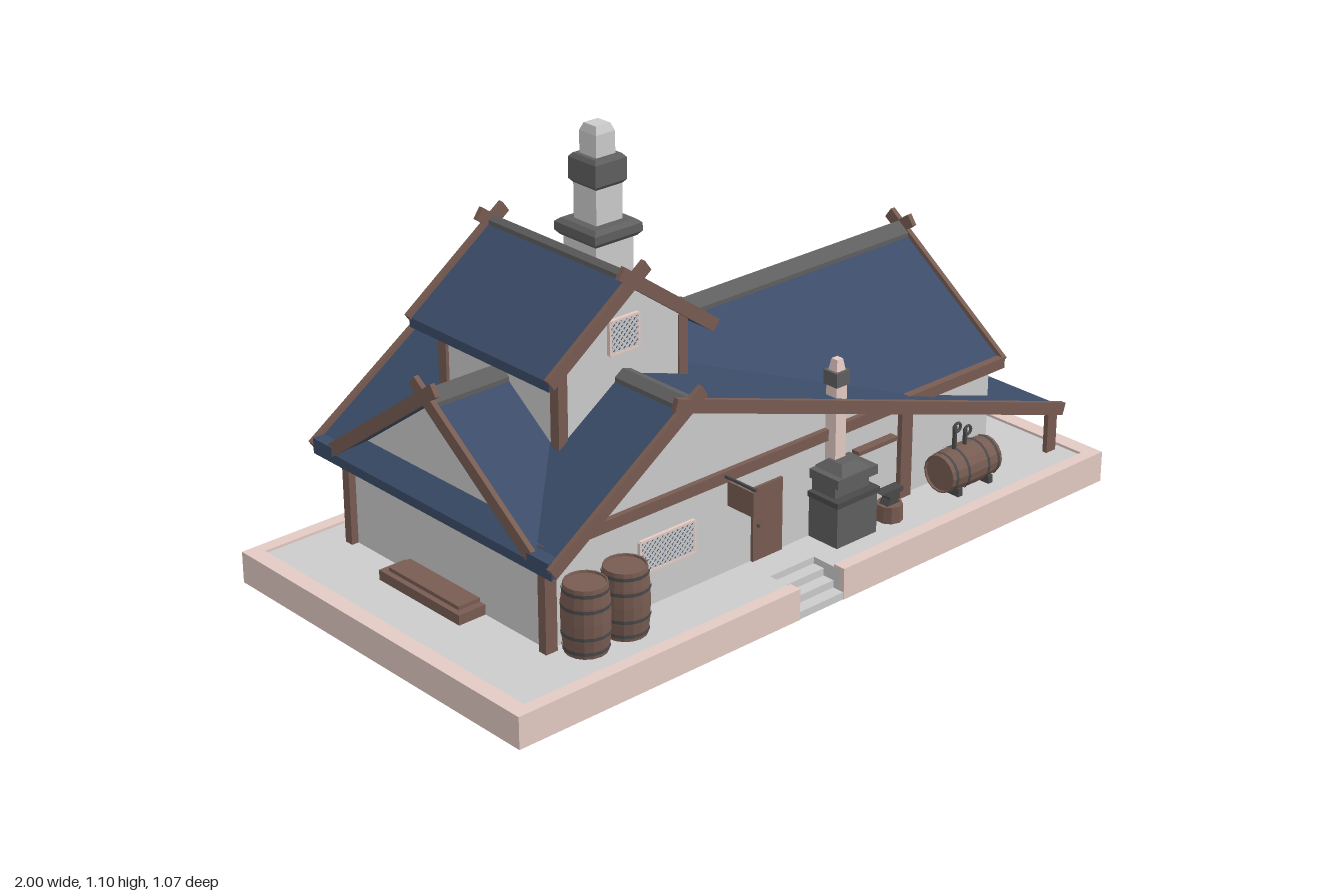
import * as THREE from 'three';

const paint = (color) => new THREE.MeshStandardMaterial({ color, flatShading: true });
const GREY = paint(0xcccccc);
const STONE = paint(0xe3cac3);
const WOOD = paint(0x785c52);
const ROOF = paint(0x3b4c69);
const DARK = paint(0x5f5f5f);
const IRON = paint(0x4a4a4a);

function add(parent, name, geometry, material, x = 0, y = 0, z = 0) {
  const mesh = new THREE.Mesh(geometry, material);
  mesh.name = name;
  mesh.position.set(x, y, z);
  parent.add(mesh);
  return mesh;
}

// Box given by its limits on each axis
function block(parent, name, material, x0, x1, y0, y1, z0, z1) {
  return add(parent, name, new THREE.BoxGeometry(x1 - x0, y1 - y0, z1 - z0), material,
    (x0 + x1) / 2, (y0 + y1) / 2, (z0 + z1) / 2);
}

// Outline in x/y pulled from z0 to z1
function prism(parent, name, material, points, z0, z1) {
  const shape = new THREE.Shape(points.map(([x, y]) => new THREE.Vector2(x, y)));
  const geometry = new THREE.ExtrudeGeometry(shape, { depth: z1 - z0, bevelEnabled: false });
  return add(parent, name, geometry, material, 0, 0, z0);
}

// Bar in the x/y plane from a to b
function bar(parent, name, material, a, b, thick, depth, z) {
  const dx = b[0] - a[0], dy = b[1] - a[1];
  const mesh = add(parent, name, new THREE.BoxGeometry(Math.hypot(dx, dy), thick, depth), material,
    (a[0] + b[0]) / 2, (a[1] + b[1]) / 2, z);
  mesh.rotation.z = Math.atan2(dy, dx);
  return mesh;
}

// Square block with a tapered top
function taper(parent, name, material, bottom, top, y0, y1, x, z) {
  const geometry = new THREE.CylinderGeometry(top / Math.SQRT2, bottom / Math.SQRT2, y1 - y0, 4);
  return add(parent, name, geometry.rotateY(Math.PI / 4), material, x, (y0 + y1) / 2, z);
}

// Chevron section: apex, two eaves, constant vertical thickness
const chevron = (apex, a, b, t) => [a, apex, b, [b[0], b[1] - t], [apex[0], apex[1] - t], [a[0], a[1] - t]];

// Pitched roof with its ridge along z, crossed rake boards and a ridge cap
function pitchedRoof(parent, name, apex, eaves, z0, z1, capWidth) {
  const roof = new THREE.Group();
  roof.name = name;
  prism(roof, 'roofSlopes', ROOF, chevron(apex, eaves[0], eaves[1], 0.025), z0, z1);
  const cap = eaves.map(([x, y]) => {
    const s = capWidth / 2 / Math.abs(x - apex[0]);
    return [apex[0] + (x - apex[0]) * s, apex[1] + 0.012 + (y - apex[1]) * s];
  });
  prism(roof, 'ridgeCap', DARK, chevron([apex[0], apex[1] + 0.012], cap[0], cap[1], 0.022), z0, z1);
  for (const z of [z0, z1]) {
    for (const [x, y] of eaves) {
      const dx = x - apex[0], dy = y - apex[1], s = 0.05 / Math.hypot(dx, dy);
      const low = apex[1] - 0.006;
      bar(roof, 'rakeBoard', WOOD, [apex[0] - dx * s, low - dy * s], [x, y - 0.006], 0.034, 0.014, z);
    }
  }
  parent.add(roof);
  return roof;
}

// Framed window with diagonal lattice, centred on its origin and facing +z
function latticeWindow(parent, w, h, x, y, z) {
  const win = new THREE.Group();
  win.name = 'latticeWindow';
  win.position.set(x, y, z);
  add(win, 'pane', new THREE.BoxGeometry(w, h, 0.004), ROOF);
  for (const s of [-1, 1]) {
    add(win, 'frameSide', new THREE.BoxGeometry(0.006, h, 0.014), STONE, s * w / 2);
    add(win, 'frameRail', new THREE.BoxGeometry(w, 0.006, 0.014), STONE, 0, s * h / 2);
    for (let c = -(w + h) / 2 + 0.014; c < (w + h) / 2; c += 0.016) {
      // Line x + y = c, clipped to the pane
      const x0 = Math.max(-w / 2, c - h / 2), x1 = Math.min(w / 2, c + h / 2);
      bar(win, 'latticeBar', GREY, [s * x0, c - x0], [s * x1, c - x1], 0.004, 0.004, 0.004);
    }
  }
  parent.add(win);
  return win;
}

// Bulging barrel with iron hoops, centred on its origin
function barrel(parent, r, h, x, y, z) {
  const cask = new THREE.Group();
  cask.name = 'barrel';
  cask.position.set(x, y, z);
  const profile = [[0, -0.47], [0.8, -0.47], [0.82, -0.5], [0.88, -0.5], [0.96, -0.25], [0.98, 0],
    [0.96, 0.25], [0.88, 0.5], [0.82, 0.5], [0.8, 0.47], [0, 0.47]];
  add(cask, 'staves', new THREE.LatheGeometry(profile.map(([a, b]) => new THREE.Vector2(a * r, b * h)), 16), WOOD);
  for (const t of [-0.42, -0.2, 0.2, 0.42]) {
    const hoopRadius = r * (Math.abs(t) > 0.3 ? 0.94 : 1);
    add(cask, 'hoop', new THREE.CylinderGeometry(hoopRadius, hoopRadius, 0.009, 16, 1, true), IRON, 0, t * h);
  }
  parent.add(cask);
  return cask;
}

export function createModel() {
  const model = new THREE.Group();
  model.name = 'workshopHouse';

  // Plinth: floor with a stair notch, raised rim and steps
  const floor = prism(model, 'floor', GREY, [[-0.98, -0.52], [-0.12, -0.52], [-0.12, -0.43], [0.03, -0.43],
    [0.03, -0.52], [0.98, -0.52], [0.98, 0.52], [-0.98, 0.52]], 0, 0.078);
  floor.rotation.x = -Math.PI / 2;
  for (const [x0, x1, z0, z1] of [[-1, 1, -0.535, -0.5], [-1, -0.955, -0.5, 0.5], [0.955, 1, -0.5, 0.5],
    [-1, -0.12, 0.5, 0.535], [0.03, 1, 0.5, 0.535]]) block(model, 'rim', STONE, x0, x1, 0, 0.085, z0, z1);
  for (let i = 0; i < 3; i++) block(model, 'step', GREY, -0.12, 0.03, 0, 0.06 - i * 0.02, 0.43, 0.465 + i * 0.034);

  // Walls of the two crossing wings
  prism(model, 'crossWingWalls', GREY, [[-0.75, 0.07], [0.755, 0.07], [0.755, 0.24], [-0.38, 0.605], [-0.75, 0.35]], -0.4, 0.34);
  const mainWing = new THREE.Group();
  mainWing.name = 'mainWing';
  mainWing.rotation.y = Math.PI / 2;
  model.add(mainWing);
  prism(mainWing, 'mainWingWalls', GREY, [[-0.34, 0.07], [0.4, 0.07], [0.4, 0.335], [0.03, 0.605], [-0.34, 0.335]], -0.745, 0.755);
  latticeWindow(mainWing, 0.09, 0.09, 0.03, 0.465, 0.757);

  // Roofs
  pitchedRoof(mainWing, 'mainRoof', [0.03, 0.622], [[-0.345, 0.35], [0.41, 0.35]], -0.8, 0.8, 0.07);
  pitchedRoof(model, 'crossRoof', [-0.38, 0.622], [[-0.805, 0.335], [0.96, 0.193]], -0.484, 0.424, 0.05);
  for (const z of [-0.44, 0.38]) block(model, 'eaveCorner', ROOF, -0.81, -0.76, 0.33, 0.355, z - 0.038, z + 0.038);

  // Dormer tower
  prism(model, 'dormerWalls', GREY, [[-0.575, 0.4], [-0.185, 0.4], [-0.185, 0.72], [-0.38, 0.86], [-0.575, 0.72]], -0.25, 0.19);
  for (const x of [-0.57, -0.19]) {
    for (const z of [-0.24, 0.18]) block(model, 'dormerPost', WOOD, x - 0.014, x + 0.014, 0.4, 0.72, z - 0.015, z + 0.015);
  }
  pitchedRoof(model, 'dormerRoof', [-0.38, 0.875], [[-0.64, 0.688], [-0.12, 0.688]], -0.29, 0.23, 0.03);
  latticeWindow(model, 0.09, 0.085, -0.38, 0.723, 0.193);

  // Timber frame
  for (const z of [0.344, -0.404]) {
    block(model, 'eaveBeam', WOOD, -0.77, 0.8, 0.33, 0.36, z - 0.011, z + 0.011);
    block(model, 'cornerPost', WOOD, -0.77, -0.735, 0.078, 0.34, z - 0.013, z + 0.013);
  }
  block(model, 'porchPost', WOOD, 0.415, 0.455, 0.078, 0.34, 0.325, 0.355);
  for (const z of [0.424, -0.484]) block(model, 'outerPost', WOOD, 0.897, 0.932, 0.078, 0.19, z - 0.007, z + 0.007);

  // Main chimney
  const cx = -0.148, cz = -0.161;
  taper(model, 'chimneyBase', GREY, 0.122, 0.122, 0.4, 0.815, cx, cz);
  taper(model, 'chimneyCollar', DARK, 0.135, 0.155, 0.808, 0.82, cx, cz);
  taper(model, 'chimneyCollar', DARK, 0.155, 0.155, 0.82, 0.842, cx, cz);
  taper(model, 'chimneyCollar', DARK, 0.155, 0.13, 0.842, 0.852, cx, cz);
  taper(model, 'chimneyShaft', GREY, 0.085, 0.085, 0.85, 0.955, cx, cz);
  taper(model, 'chimneyBand', DARK, 0.085, 0.102, 0.945, 0.955, cx, cz);
  taper(model, 'chimneyBand', DARK, 0.102, 0.102, 0.955, 1.012, cx, cz);
  taper(model, 'chimneyBand', DARK, 0.102, 0.085, 1.012, 1.022, cx, cz);
  taper(model, 'chimneyTop', GREY, 0.062, 0.062, 1.02, 1.08, cx, cz);
  taper(model, 'chimneyTop', GREY, 0.062, 0.046, 1.08, 1.1, cx, cz);

  // Front wall: window, door, hanging sign, shelf
  latticeWindow(model, 0.175, 0.085, -0.38, 0.217, 0.342);
  block(model, 'door', WOOD, -0.1, 0, 0.078, 0.278, 0.335, 0.348);
  add(model, 'doorKnob', new THREE.SphereGeometry(0.005, 8, 6), IRON, -0.085, 0.175, 0.352);
  block(model, 'signArm', IRON, -0.203, -0.197, 0.345, 0.352, 0.34, 0.46);
  block(model, 'signBoard', WOOD, -0.203, -0.197, 0.275, 0.34, 0.365, 0.455);
  block(model, 'toolShelf', WOOD, 0.25, 0.39, 0.257, 0.268, 0.34, 0.365);

  // Standing barrels
  for (const x of [-0.682, -0.56]) barrel(model, 0.061, 0.178, x, 0.169, 0.397);

  // Lying barrel on feet with two valves
  const tank = barrel(model, 0.058, 0.185, 0.597, 0.137, 0.405);
  tank.name = 'lyingBarrel';
  tank.rotation.z = Math.PI / 2;
  for (const x of [0.54, 0.655]) block(model, 'barrelFoot', IRON, x - 0.008, x + 0.008, 0.078, 0.1, 0.36, 0.45);
  for (const [x, top] of [[0.56, 0.255], [0.6, 0.235]]) {
    add(model, 'valvePipe', new THREE.CylinderGeometry(0.006, 0.006, top - 0.17, 8), IRON, x, (top + 0.17) / 2, 0.405);
    add(model, 'valveWheel', new THREE.TorusGeometry(0.012, 0.004, 6, 12), IRON, x, top, 0.413);
  }

  // Forge with its flue
  block(model, 'forgeBody', DARK, 0.1, 0.24, 0.078, 0.2, 0.34, 0.44);
  block(model, 'forgeHearth', IRON, 0.095, 0.245, 0.19, 0.205, 0.335, 0.445);
  block(model, 'forgeBack', DARK, 0.11, 0.23, 0.205, 0.24, 0.34, 0.42);
  block(model, 'forgeHood', DARK, 0.1, 0.24, 0.24, 0.265, 0.34, 0.44);
  taper(model, 'forgeHoodTop', DARK, 0.1, 0.05, 0.265, 0.285, 0.168, 0.385);
  taper(model, 'forgeFlue', STONE, 0.036, 0.036, 0.27, 0.485, 0.168, 0.361);
  taper(model, 'flueBand', DARK, 0.046, 0.046, 0.482, 0.52, 0.168, 0.361);
  taper(model, 'flueTop', STONE, 0.03, 0.02, 0.52, 0.55, 0.168, 0.361);

  // Anvil on a stump
  add(model, 'anvilStump', new THREE.CylinderGeometry(0.034, 0.036, 0.045, 10), WOOD, 0.318, 0.1, 0.41);
  prism(model, 'anvil', IRON, [[0.295, 0.122], [0.341, 0.122], [0.33, 0.138], [0.338, 0.148], [0.352, 0.152],
    [0.352, 0.163], [0.272, 0.163], [0.3, 0.148], [0.306, 0.138]], 0.395, 0.425);

  // Low hatch against the left-hand end wall
  block(model, 'hatchFrame', WOOD, -0.83, -0.745, 0.078, 0.105, -0.2, 0.11);
  block(model, 'hatchLid', WOOD, -0.815, -0.745, 0.105, 0.115, -0.18, 0.09);

  return model;
}
